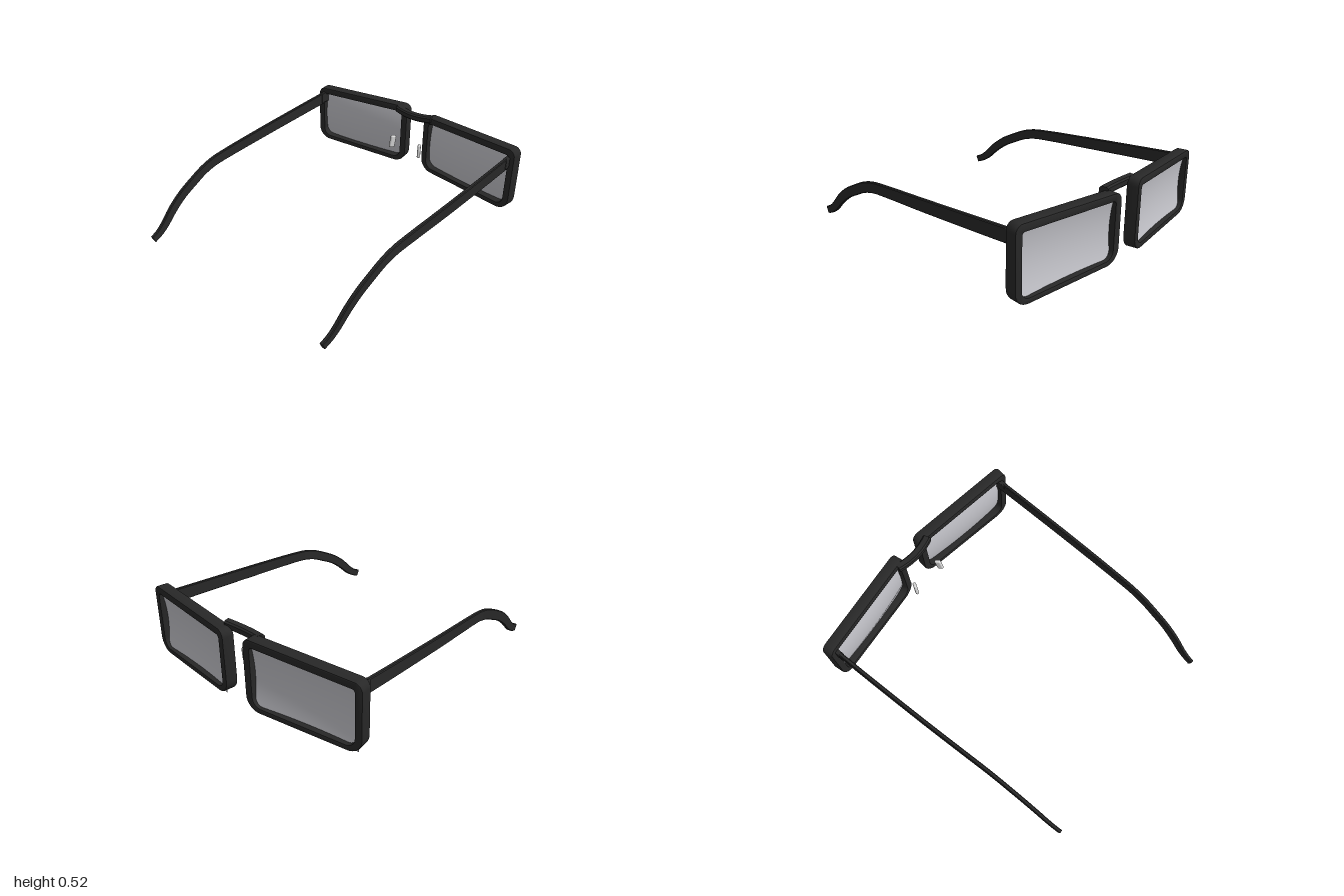
import * as THREE from 'three';
import { toCreasedNormals } from 'three/addons/utils/BufferGeometryUtils.js';
import { RoundedBoxGeometry } from 'three/addons/geometries/RoundedBoxGeometry.js';

const mat = (name, color) => {
  const m = new THREE.MeshStandardMaterial({ color });
  m.name = name;
  return m;
};

// Closed outline through corners [x, y, radius], each rounded
function roundedOutline(corners, target) {
  const n = corners.length;
  const toward = (a, b) => {
    const d = Math.hypot(b[0] - a[0], b[1] - a[1]);
    return [a[0] + (b[0] - a[0]) * a[2] / d, a[1] + (b[1] - a[1]) * a[2] / d];
  };
  corners.forEach((c, i) => {
    const p = toward(c, corners[(i + n - 1) % n]);
    const q = toward(c, corners[(i + 1) % n]);
    if (i) target.lineTo(...p); else target.moveTo(...p);
    const k = 0.45; // handles that approximate a circular arc
    target.bezierCurveTo(
      c[0] + (p[0] - c[0]) * k, c[1] + (p[1] - c[1]) * k,
      c[0] + (q[0] - c[0]) * k, c[1] + (q[1] - c[1]) * k, ...q);
  });
  target.closePath();
  return target;
}

// Chamfered rectangular section about c, half sizes a along u and b along v
function section(c, u, v, a, b) {
  const e = Math.min(a, b) * 0.4;
  const ring = [[a, e - b], [a, b - e], [a - e, b], [e - a, b], [-a, b - e], [-a, e - b], [e - a, -b], [a - e, -b]];
  return ring.map(([s, t]) => c.clone().addScaledVector(u, s).addScaledVector(v, t));
}

// Solid through successive sections, capped at both ends
function loft(sections) {
  const n = sections[0].length, last = sections.length - 1, idx = [];
  for (let i = 0; i < last; i++) {
    for (let k = 0; k < n; k++) {
      const a = i * n + k, b = i * n + (k + 1) % n;
      idx.push(a, b, b + n, a, b + n, a + n);
    }
  }
  for (let k = 1; k < n - 1; k++) {
    idx.push(0, k + 1, k, last * n, last * n + k, last * n + k + 1);
  }
  const g = new THREE.BufferGeometry().setFromPoints(sections.flat());
  g.setIndex(idx);
  return toCreasedNormals(g, 0.6);
}

export function createModel() {
  const model = new THREE.Group();
  model.name = 'glasses';
  const frameMat = mat('black frame', 0x282828);
  const lensMat = mat('pale lens', 0xc6c6cc);
  lensMat.side = THREE.DoubleSide;
  const padMat = mat('nose pad', 0xdcdcdc);
  const add = (name, geometry, material, parent = model) => {
    const m = new THREE.Mesh(geometry, material);
    m.name = name;
    parent.add(m);
    return m;
  };

  // Rim: slightly skewed rounded rectangle with a lens opening
  const bevel = 0.007;
  const h = 0.405 - bevel;
  const rimShape = roundedOutline([
    [-h, 0.506 - bevel, 0.045], [-h, 0.058 + bevel, 0.09],
    [h, 0.048 + bevel, 0.09], [h, 0.53 - bevel, 0.045]], new THREE.Shape());
  rimShape.holes.push(roundedOutline([
    [-0.363, 0.465, 0.025], [0.363, 0.485, 0.025],
    [0.363, 0.077, 0.065], [-0.363, 0.085, 0.065]], new THREE.Path()));
  const rimGeo = toCreasedNormals(new THREE.ExtrudeGeometry(rimShape, {
    depth: 0.08 - 2 * bevel, bevelThickness: bevel, bevelSize: bevel, bevelSegments: 2, curveSegments: 8,
  }).translate(0, 0, bevel - 0.04), 0.5);

  // Lens: thin sheet curving toward the wearer, edges buried in the rim
  const lensGeo = new THREE.PlaneGeometry(0.75, 0.414, 20, 12);
  const p = lensGeo.attributes.position;
  for (let i = 0; i < p.count; i++) {
    const x = p.getX(i), y = p.getY(i);
    p.setXYZ(i, x, y + 0.279 + x * 0.02, 0.018 - 0.11 * x * x - 0.6 * y * y);
  }
  lensGeo.computeVertexNormals();

  for (const [name, s] of [['left', 1], ['right', -1]]) {
    const side = new THREE.Group();
    side.name = name + 'Eye';
    side.position.set(s * 0.484, 0, -0.911);
    side.rotation.y = -s * 0.125;
    model.add(side);
    add(name + 'Rim', rimGeo, frameMat, side);
    add(name + 'Lens', lensGeo, lensMat, side);

    // Temple: [x, y, z, half height], bending down behind the ear
    const stations = [
      [0.832, 0.427, -0.8, 0.046], [0.828, 0.417, -0.6, 0.045], [0.814, 0.393, -0.1, 0.042],
      [0.797, 0.373, 0.3, 0.038], [0.792, 0.363, 0.4, 0.037], [0.787, 0.337, 0.5, 0.036],
      [0.782, 0.292, 0.6, 0.036], [0.777, 0.242, 0.7, 0.035], [0.771, 0.17, 0.8, 0.034],
      [0.765, 0.09, 0.885, 0.031], [0.761, 0.052, 0.94, 0.028], [0.757, 0.03, 0.992, 0.026]];
    const curve = new THREE.CatmullRomCurve3(stations.map(t => new THREE.Vector3(s * t[0], t[1], t[2])));
    const steps = 33, sections = [];
    for (let i = 0; i <= steps; i++) {
      const f = i / steps * (stations.length - 1);
      const j = Math.min(Math.floor(f), stations.length - 2);
      const half = THREE.MathUtils.lerp(stations[j][3], stations[j + 1][3], f - j);
      const d = curve.getTangent(i / steps);
      const v = new THREE.Vector3(0, d.z, -d.y).normalize();
      sections.push(section(curve.getPoint(i / steps), new THREE.Vector3(1, 0, 0), v, 0.0125, half));
    }
    add(name + 'Temple', loft(sections), frameMat);

    // Hinge joining the temple to the rim
    add(name + 'Hinge', new RoundedBoxGeometry(0.032, 0.08, 0.08, 2, 0.006), frameMat)
      .position.set(s * 0.832, 0.431, -0.82);

    // Nose pad
    const pad = add(name + 'NosePad', new RoundedBoxGeometry(0.024, 0.1, 0.045, 3, 0.011), padMat);
    pad.position.set(s * 0.123, 0.268, -0.815);
    pad.rotation.set(-0.18, s * 0.5, s * 0.09);
  }

  // Bridge: short bar bowed toward the wearer and dipping in the middle
  const bridge = [];
  for (let i = 0; i <= 12; i++) {
    const x = -0.148 + 0.296 * i / 12, q = (x / 0.148) ** 2;
    const slope = -2 * 0.02 * x / 0.148 ** 2;
    const v = new THREE.Vector3(-slope, 0, 1).normalize();
    bridge.push(section(new THREE.Vector3(x, 0.495 + 0.01 * q, -0.891 - 0.02 * q),
      new THREE.Vector3(0, 1, 0), v, 0.025, 0.028));
  }
  add('bridge', loft(bridge), frameMat);
  return model;
}
